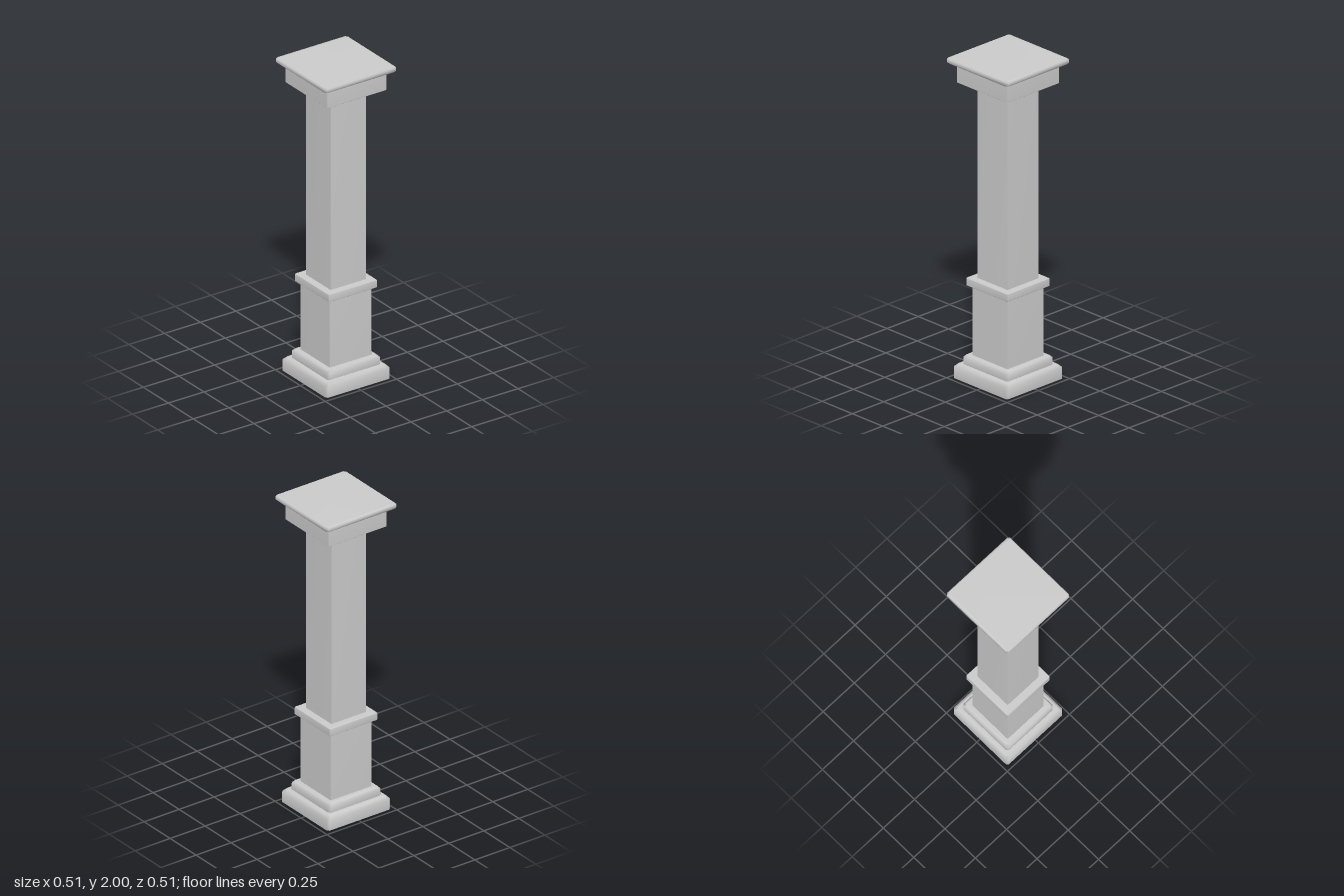
import * as THREE from 'three';

const material = new THREE.MeshStandardMaterial({ color: 0xcccccc });

// Square block with cut corners; rows of [half width, height] run bottom to top.
function block(name, rows, cut) {
  const pos = [], index = [];
  for (const [h, y] of rows) {
    const k = h - cut;
    const ring = [[h, -k], [h, k], [k, h], [-k, h], [-h, k], [-h, -k], [-k, -h], [k, -h]];
    for (const [x, z] of ring) pos.push(x, y, z);
  }
  const last = (rows.length - 1) * 8;
  for (let r = 0; r < last; r += 8) {
    for (let i = 0; i < 8; i++) {
      const j = (i + 1) % 8;
      index.push(r + i, r + 8 + i, r + j, r + j, r + 8 + i, r + 8 + j);
    }
  }
  // flat bottom and top
  for (let i = 1; i < 7; i++) index.push(0, i, i + 1, last, last + i + 1, last + i);
  const geometry = new THREE.BufferGeometry();
  geometry.setAttribute('position', new THREE.Float32BufferAttribute(pos, 3));
  geometry.setIndex(index);
  geometry.computeVertexNormals();
  const mesh = new THREE.Mesh(geometry, material);
  mesh.name = name;
  return mesh;
}

// Rows for a block whose bottom and top edges are bevelled.
function bevelled(half, y0, y1, low, high) {
  return [[half - low, y0], [half, y0 + low], [half, y1 - high], [half - high, y1]];
}

export function createModel() {
  const column = new THREE.Group();
  column.name = 'column';
  // name, half width, bottom, top, lower bevel, upper bevel, corner cut
  const parts = [
    ['plinth', 0.226, 0, 0.09, 0.004, 0.02, 0.012],
    ['plinthStep', 0.187, 0.088, 0.145, 0.003, 0.014, 0.012],
    ['pedestal', 0.147, 0.14, 0.585, 0.002, 0.002, 0.004],
    ['collar', 0.172, 0.578, 0.627, 0.004, 0.004, 0.006],
    ['shaft', 0.125, 0.62, 1.815, 0.002, 0.002, 0.004],
    ['necking', 0.153, 1.808, 1.85, 0.01, 0.003, 0.008],
    ['capitalBlock', 0.21, 1.846, 1.97, 0.003, 0.003, 0.006],
    ['topSlab', 0.253, 1.966, 2, 0.01, 0.007, 0.012],
  ];
  for (const [name, half, y0, y1, low, high, cut] of parts) {
    column.add(block(name, bevelled(half, y0, y1, low, high), cut));
  }
  return column;
}
